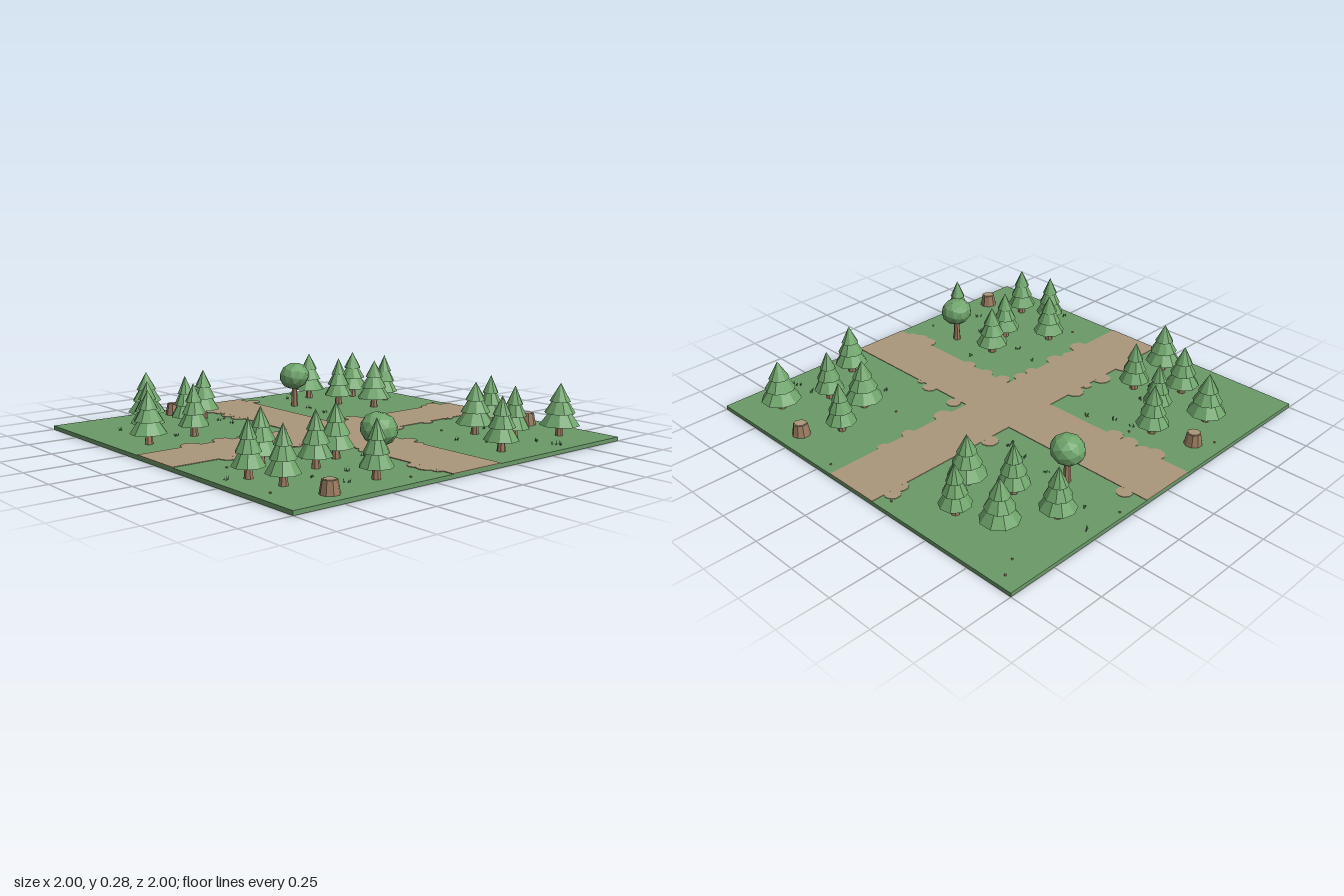
import * as THREE from 'three';

const mat = (name, color, extra = {}) => {
  const m = new THREE.MeshStandardMaterial({ color, flatShading: true, ...extra });
  m.name = name;
  return m;
};

export function createModel() {
  const grass = mat('grass green', 0x6a9a68);
  const foliage = mat('foliage green', 0x6fa56b);
  const dirt = mat('dirt path', 0xab977b);
  const bark = mat('bark brown', 0x9a7b60);
  const blade = mat('grass blade', 0x5f9160, { side: THREE.DoubleSide });

  const model = new THREE.Group();
  model.name = 'forestCrossroads';
  const TOP = 0.02; // ground surface height

  let seed = 7;
  const rand = () => (seed = (seed * 16807) % 2147483647) / 2147483647;

  const add = (parent, name, geometry, material, x = 0, y = 0, z = 0) => {
    const mesh = new THREE.Mesh(geometry, material);
    mesh.name = name;
    mesh.position.set(x, y, z);
    parent.add(mesh);
    return mesh;
  };
  const place = (name, x, z) => {
    const g = new THREE.Group();
    g.name = name;
    g.position.set(x, TOP, z);
    g.rotation.y = rand() * Math.PI * 2;
    model.add(g);
    return g;
  };

  // Ground slab
  add(model, 'ground', new THREE.BoxGeometry(2, TOP, 2), grass, 0, TOP / 2, 0);

  // Crossing dirt paths, as one thin plate
  const cross = new THREE.Shape([
    [-0.15, -1], [0.15, -1], [0.15, -0.15], [1, -0.15], [1, 0.15], [0.15, 0.15],
    [0.15, 1], [-0.15, 1], [-0.15, 0.15], [-1, 0.15], [-1, -0.15], [-0.15, -0.15],
  ].map(([x, y]) => new THREE.Vector2(x, y)));
  const plate = new THREE.ExtrudeGeometry(cross, { depth: 0.003, bevelEnabled: false });
  plate.rotateX(-Math.PI / 2);
  add(model, 'path', plate, dirt, 0, TOP, 0);

  // Ragged path edges: x, z, radius
  [
    [-0.17, -0.9, 0.04], [-0.15, -0.84, 0.04], [-0.17, -0.3, 0.045], [-0.15, 0.33, 0.05],
    [-0.16, 0.53, 0.05], [-0.16, 0.71, 0.05], [-0.15, 0.42, 0.03],
    [0.14, -0.69, 0.035], [0.15, -0.53, 0.035], [0.15, -0.3, 0.052], [0.15, 0.25, 0.04],
    [0.15, 0.33, 0.035], [0.145, 0.51, 0.05], [0.13, 0.6, 0.035], [0.155, 0.71, 0.05],
    [-0.89, -0.17, 0.04], [0.21, -0.18, 0.037], [0.41, -0.16, 0.04], [0.49, -0.145, 0.025],
    [-0.8, 0.16, 0.05], [-0.74, 0.15, 0.035], [-0.65, 0.155, 0.045], [-0.56, 0.155, 0.045],
    [0.2, 0.16, 0.04], [0.31, 0.14, 0.04], [0.44, 0.14, 0.04],
    [0.79, 0.16, 0.045], [0.85, 0.155, 0.05], [0.91, 0.15, 0.03],
  ].forEach(([x, z, r]) =>
    add(model, 'pathPatch', new THREE.CylinderGeometry(r, r, 0.003, 10), dirt, x, TOP + 0.0014, z));

  // Pine trees: x, z, spread
  [
    [-0.68, -0.74, 0.093], [-0.47, -0.8, 0.077], [-0.345, -0.61, 0.093], [-0.8, -0.51, 0.087],
    [-0.54, -0.515, 0.08], [0.41, -0.73, 0.077], [0.79, -0.81, 0.1], [0.505, -0.515, 0.097],
    [0.7, -0.58, 0.077], [0.84, -0.33, 0.085], [-0.67, 0.305, 0.083], [-0.56, 0.485, 0.074],
    [-0.79, 0.575, 0.097], [-0.34, 0.575, 0.078], [-0.54, 0.715, 0.086], [-0.32, 0.84, 0.091],
    [0.465, 0.345, 0.086], [0.85, 0.45, 0.076], [0.545, 0.525, 0.08], [0.345, 0.67, 0.085],
    [0.505, 0.85, 0.076], [0.69, 0.81, 0.078],
  ].forEach(([x, z, s]) => {
    const tree = place('pineTree', x, z);
    add(tree, 'trunk', new THREE.CylinderGeometry(0.015, 0.021, 0.06, 7), bark, 0, 0.03, 0);
    // bottom height, tier height, lower and upper radius
    [
      [0.053, 0.085, 1, 0.36], [0.112, 0.085, 0.76, 0.22], [0.17, 0.09, 0.52, 0],
    ].forEach(([y, h, lower, upper], i) => {
      const tier = add(tree, 'foliageTier', new THREE.CylinderGeometry(s * upper, s * lower, h, 9),
        foliage, 0, y + h / 2, 0);
      tier.rotation.y = i * 0.3;
    });
  });

  // Round trees
  [[-0.65, -0.285], [0.71, 0.31]].forEach(([x, z]) => {
    const tree = place('roundTree', x, z);
    add(tree, 'trunk', new THREE.CylinderGeometry(0.013, 0.02, 0.13, 7), bark, 0, 0.065, 0);
    const crown = add(tree, 'crown', new THREE.IcosahedronGeometry(0.084, 1), foliage, 0, 0.17, 0);
    crown.scale.y = 0.88;
    crown.rotation.z = 0.3;
  });

  // Tree stumps with a pale cut face
  [[0.52, -0.89], [-0.87, 0.365], [0.905, 0.745]].forEach(([x, z]) => {
    const stump = place('stump', x, z);
    add(stump, 'stumpBark', new THREE.CylinderGeometry(0.034, 0.045, 0.06, 9), bark, 0, 0.03, 0);
    add(stump, 'stumpCut', new THREE.CylinderGeometry(0.028, 0.028, 0.003, 9), dirt, 0, 0.061, 0);
  });

  // Grass tufts made of narrow blades
  const bladeGeo = new THREE.ConeGeometry(0.003, 0.022, 3, 1, true).translate(0, 0.011, 0);
  [
    [-0.57, -0.71], [0.93, -0.64], [0.45, -0.64], [0.57, -0.63], [0.81, -0.62], [0.91, -0.63],
    [-0.95, -0.49], [-0.84, -0.38], [-0.54, -0.3], [-0.38, -0.29], [-0.26, -0.27], [-0.26, -0.23],
    [0.67, -0.42], [0.55, -0.34], [-0.35, 0.2], [-0.47, 0.265], [-0.57, 0.28], [0.51, 0.22],
    [0.23, 0.42], [-0.44, 0.5], [0.67, 0.46], [0.38, 0.46], [-0.68, 0.79], [0.66, 0.645],
    [0.82, 0.58], [0.47, 0.94], [-0.39, 0.65],
  ].forEach(([x, z]) => {
    const tuft = place('grassTuft', x, z);
    for (let i = 0; i < 4; i++) {
      const b = add(tuft, 'blade', bladeGeo, blade, (rand() - 0.5) * 0.025, 0, (rand() - 0.5) * 0.02);
      b.rotation.set((rand() - 0.5) * 0.7, 0, (rand() - 0.5) * 0.7);
      b.scale.y = 0.6 + rand() * 0.4;
    }
  });

  // Small brown pebbles
  [
    [-0.91, -0.94], [-0.86, -0.85], [-0.21, -0.94], [0.21, -0.95], [0.35, -0.44], [-0.97, -0.3],
    [0.92, 0.32], [-0.94, 0.44], [-0.59, 0.23], [0.3, 0.82], [0.75, 0.92],
  ].forEach(([x, z]) => {
    const pebble = place('pebble', x, z);
    add(pebble, 'pebbleStone', new THREE.IcosahedronGeometry(0.006, 0), bark, 0, 0.002, 0);
  });

  return model;
}
